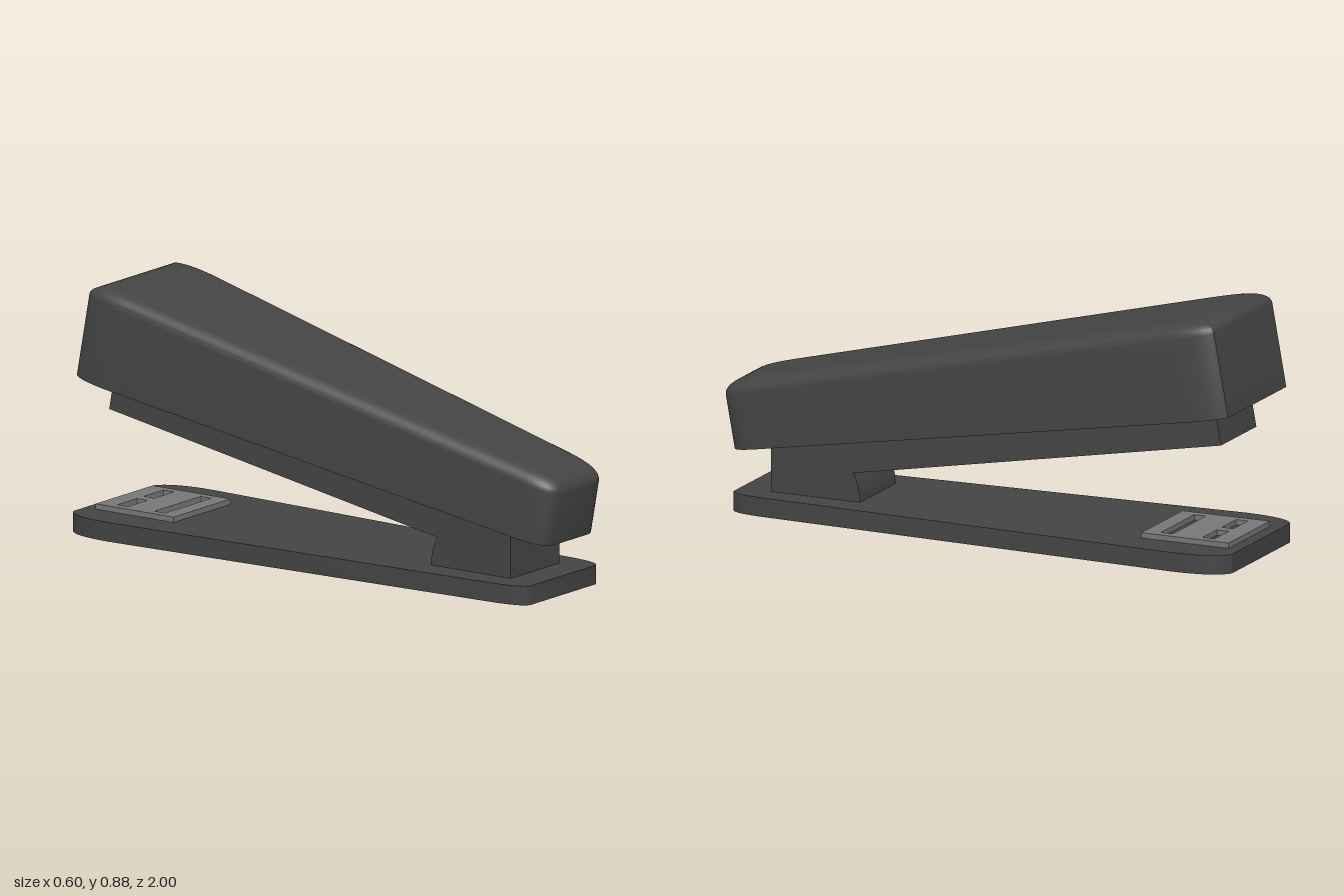
import * as THREE from 'three';
import { toCreasedNormals } from 'three/addons/utils/BufferGeometryUtils.js';

const dark = new THREE.MeshStandardMaterial({ color: 0x444444 });
const metal = new THREE.MeshStandardMaterial({ color: 0x777777 });

function addPart(parent, name, geometry, material = dark) {
  const mesh = new THREE.Mesh(geometry, material);
  mesh.name = name;
  parent.add(mesh);
  return mesh;
}

// Tapered outline with softened corners: [x, s], s running towards the back
function taperedOutline(front, back) {
  const v = (p) => new THREE.Vector2(p[0], p[1]);
  const curve = (c) => new THREE.QuadraticBezierCurve(...c.map(v)).getPoints(8);
  const right = [...curve(front), ...curve(back)];
  const left = right.map((p) => new THREE.Vector2(-p.x, p.y)).reverse();
  return [...right, ...left];
}

// Extrude a plan shape (x, -z) upwards
function slab(shape, depth, y) {
  const g = new THREE.ExtrudeGeometry(shape, { depth, bevelEnabled: false });
  return toCreasedNormals(g.rotateX(-Math.PI / 2).translate(0, y, 0), 0.5);
}

function rect(PathType, x0, x1, y0, y1) {
  const p = new PathType();
  p.moveTo(x0, y0);
  p.lineTo(x1, y0);
  p.lineTo(x1, y1);
  p.lineTo(x0, y1);
  p.closePath();
  return p;
}

// Handle shell: straight walls, rounded upper edge and a sloping flat top
function handleGeometry() {
  const length = 1.98, mid = length / 2, steps = 9;
  const outline = taperedOutline(
    [[0.105, 0], [0.16, 0.005], [0.167, 0.11]],
    [[0.265, 1.83], [0.268, 1.95], [0.235, length]]
  );
  const n = outline.length;
  const topAt = (s) => 0.2425 + 0.0548 * s;
  const halfWidth = (s) => 0.16 + 0.055 * s;
  const pos = [], index = [];
  for (const p of outline) pos.push(p.x, 0, -p.y);
  for (let k = 0; k <= steps; k++) {
    const a = (k / steps) * Math.PI / 2, inset = 1 - Math.cos(a);
    for (const p of outline) {
      const s = mid + (p.y - mid) * (1 - inset * 0.1 / mid);
      const x = p.x * (1 - inset * 0.055 / halfWidth(p.y));
      pos.push(x, topAt(s) - 0.05 * (1 - Math.sin(a)), -s);
    }
  }
  for (let k = 0; k <= steps; k++) {
    for (let i = 0; i < n; i++) {
      const j = (i + 1) % n, a = k * n, b = a + n;
      index.push(a + i, a + j, b + j, a + i, b + j, b + i);
    }
  }
  // Top and bottom caps
  const top = pos.length / 3, last = (steps + 1) * n;
  pos.push(0, topAt(mid), -mid, 0, 0, -mid);
  for (let i = 0; i < n; i++) {
    const j = (i + 1) % n;
    index.push(top, last + i, last + j, top + 1, j, i);
  }
  const g = new THREE.BufferGeometry();
  g.setAttribute('position', new THREE.Float32BufferAttribute(pos, 3));
  g.setIndex(index);
  return toCreasedNormals(g, 0.6);
}

export function createModel() {
  const model = new THREE.Group();
  model.name = 'stapler';

  // Base plate
  const baseOutline = taperedOutline(
    [[0.19, -0.93], [0.23, -0.92], [0.235, -0.78]],
    [[0.302, 0.8], [0.3, 0.97], [0.235, 1]]
  );
  addPart(model, 'base', slab(new THREE.Shape(baseOutline), 0.068, 0));

  // Anvil plate with one long and two short slots
  const anvil = rect(THREE.Shape, -0.167, 0.167, 0.62, 0.955);
  anvil.holes.push(
    rect(THREE.Path, -0.135, 0.135, 0.68, 0.725),
    rect(THREE.Path, -0.135, -0.02, 0.84, 0.885),
    rect(THREE.Path, 0.02, 0.135, 0.84, 0.885)
  );
  addPart(model, 'anvil', slab(anvil, 0.02, 0.067), metal);

  // Hinge post with a rounded rear, extruded across the width
  const post = new THREE.Shape();
  post.moveTo(-0.81, 0.06);
  post.lineTo(-0.468, 0.06);
  post.quadraticCurveTo(-0.468, 0.135, -0.505, 0.185);
  post.lineTo(-0.52, 0.26);
  post.lineTo(-0.81, 0.235);
  post.closePath();
  const postGeometry = new THREE.ExtrudeGeometry(post, { depth: 0.286, bevelEnabled: false, curveSegments: 10 });
  postGeometry.translate(0, 0, -0.143).rotateY(Math.PI / 2);
  addPart(model, 'hingePost', toCreasedNormals(postGeometry, 0.5));

  // Raised arm: handle shell with the magazine under it
  const arm = new THREE.Group();
  arm.name = 'arm';
  arm.position.set(0, 0.2, 0.963);
  arm.rotation.x = 0.18;
  model.add(arm);
  addPart(arm, 'handle', handleGeometry());
  const magazine = addPart(arm, 'magazine', new THREE.BoxGeometry(0.286, 0.134, 1.72));
  magazine.position.set(0, -0.047, -1.027);

  return model;
}
